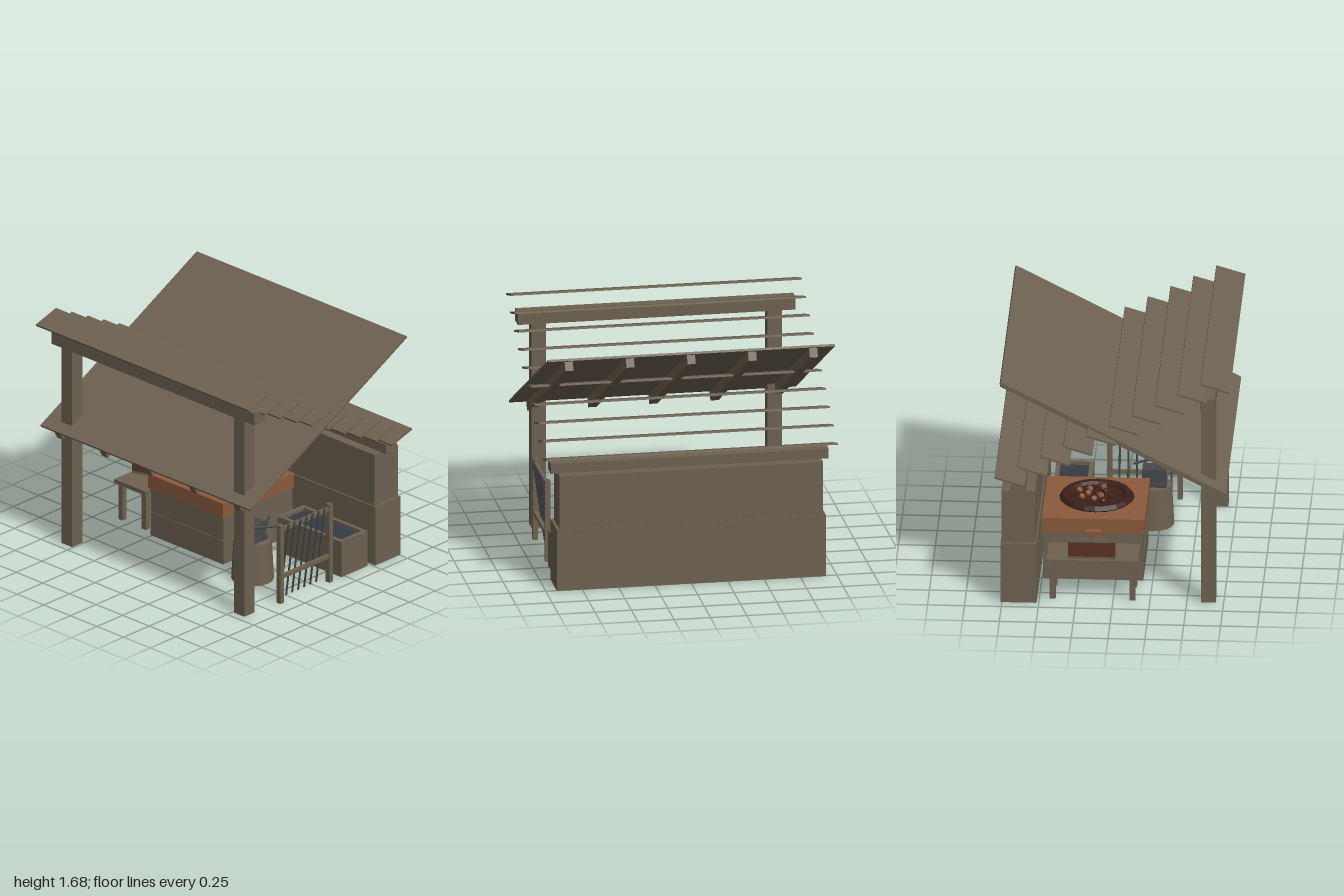
import * as THREE from 'three';

const mat = (name, color, extra = {}) => {
  const m = new THREE.MeshStandardMaterial({ color, ...extra });
  m.name = name;
  return m;
};

export function createModel() {
  const root = new THREE.Group();
  root.name = 'openForgeShelter';
  const wood = mat('weatheredBrown', 0x6e6251);
  const brick = mat('brickOrange', 0x8b5a3c);
  const iron = mat('darkIron', 0x45474a);
  const ash = mat('charredBrown', 0x44241a);
  const leather = mat('leatherBrown', 0x5a3322);
  const water = mat('darkWater', 0x353b42);

  const add = (parent, name, geo, m, x = 0, y = 0, z = 0) => {
    const mesh = new THREE.Mesh(geo, m);
    mesh.name = name;
    mesh.position.set(x, y, z);
    parent.add(mesh);
    return mesh;
  };
  // Box given by its minimum and maximum on each axis
  const box = (parent, name, m, x0, x1, y0, y1, z0, z1) =>
    add(parent, name, new THREE.BoxGeometry(x1 - x0, y1 - y0, z1 - z0), m,
      (x0 + x1) / 2, (y0 + y1) / 2, (z0 + z1) / 2);
  // Thin round rod between two points
  const rod = (parent, name, m, a, b, r) => {
    const p = new THREE.Vector3(...a), q = new THREE.Vector3(...b);
    const d = q.clone().sub(p);
    const mesh = add(parent, name, new THREE.CylinderGeometry(r, r, d.length(), 6), m);
    mesh.position.copy(p).add(q).multiplyScalar(0.5);
    mesh.quaternion.setFromUnitVectors(new THREE.Vector3(0, 1, 0), d.normalize());
    return mesh;
  };
  const group = (name) => {
    const g = new THREE.Group();
    g.name = name;
    root.add(g);
    return g;
  };

  // Rear wall in two courses with a top plate
  const wall = group('rearWall');
  box(wall, 'wallBase', wood, -0.925, 0.925, 0, 0.435, -0.76, -0.515);
  box(wall, 'wallUpper', wood, -0.905, 0.905, 0.435, 0.815, -0.755, -0.525);
  box(wall, 'wallPlate', wood, -0.955, 0.955, 0.815, 0.885, -0.69, -0.59);

  // Front posts and beam
  const frame = group('frontFrame');
  for (const s of [-1, 1]) box(frame, 'post', wood, s * 0.81 - 0.05, s * 0.81 + 0.05, 0, 1.455, 0.595, 0.695);
  box(frame, 'beam', wood, -0.955, 0.955, 1.455, 1.543, 0.595, 0.695);

  // Sloping roof sheet carried on rafters
  const roof = group('roof');
  roof.position.set(0, 1.257, 0.008);
  roof.rotation.x = Math.atan2(0.788, 1.525);
  box(roof, 'roofSheet', wood, -0.985, 0.985, -0.016, 0, -0.859, 0.859);
  for (let i = -2; i <= 2; i++)
    box(roof, 'rafter', wood, i * 0.42 - 0.028, i * 0.42 + 0.028, -0.08, -0.016, -0.83, 0.852);

  // Stepped slats descending to the rear
  const slats = group('slats');
  for (let i = 0; i < 10; i++) {
    const s = add(slats, 'slat', new THREE.BoxGeometry(2, 0.013, 0.205), wood, 0, 1.641 - i * 0.08, 0.699 - i * 0.155);
    s.rotation.x = 0.29;
  }

  // Forge hearth
  const forge = group('forge');
  box(forge, 'hearthBase', wood, -0.51, 0.172, 0, 0.175, -0.492, 0.187);
  box(forge, 'hearthBody', wood, -0.515, 0.168, 0.175, 0.35, -0.49, 0.182);
  box(forge, 'hearthTop', brick, -0.53, 0.177, 0.35, 0.455, -0.5, 0.195);
  const rim = [[0, 0], [0.24, 0], [0.255, 0.012], [0.235, 0.04], [0.2, 0.04], [0.18, 0.022], [0, 0.022]];
  add(forge, 'fireBowl', new THREE.LatheGeometry(rim.map(p => new THREE.Vector2(...p)), 20),
    mat('bowlBrown', 0x3a2018, { flatShading: true }), -0.178, 0.455, -0.145);
  for (let i = 0; i < 11; i++) {
    const r = 0.042 * Math.sqrt(i), a = i * 2.4;
    const c = add(forge, 'coal', new THREE.IcosahedronGeometry(0.024, 0), i % 3 ? brick : ash,
      -0.178 + r * Math.cos(a), 0.489, -0.145 + r * Math.sin(a));
    c.rotation.set(a, i, 0);
  }

  // Bellows bench
  const bench = group('bellowsBench');
  box(bench, 'benchTop', wood, -0.87, -0.575, 0.27, 0.297, -0.45, 0.17);
  for (const x of [-0.83, -0.61]) for (const z of [-0.41, 0.13])
    box(bench, 'benchLeg', wood, x - 0.02, x + 0.02, 0, 0.27, z - 0.02, z + 0.02);

  // Bellows: tapering boards with a leather wedge between them
  const bellows = group('bellows');
  const taper = (name, m, yTail, yNose, hTail, hNose) => {
    const g = new THREE.BoxGeometry(1, 1, 1);
    const p = g.attributes.position;
    for (let i = 0; i < p.count; i++) {
      const nose = p.getX(i) > 0, up = p.getY(i) > 0 ? 1 : 0;
      p.setXYZ(i, nose ? -0.575 : -0.85,
        nose ? yNose + up * hNose : yTail + up * hTail,
        -0.145 + p.getZ(i) * (nose ? 0.1 : 0.32));
    }
    g.computeVertexNormals();
    add(bellows, name, g, m);
  };
  taper('lowerBoard', wood, 0.297, 0.297, 0.018, 0.018);
  taper('leatherFold', leather, 0.315, 0.315, 0.105, 0.006);
  taper('upperBoard', wood, 0.42, 0.321, 0.018, 0.018);
  rod(bellows, 'pumpHandle', wood, [-0.83, 0.42, -0.145], [-0.83, 0.475, -0.145], 0.01);
  box(bellows, 'nozzleBlock', brick, -0.58, -0.505, 0.27, 0.38, -0.2, -0.09);

  // Anvil on a stump, with tongs laid across it
  const anvil = group('anvil');
  add(anvil, 'stump', new THREE.CylinderGeometry(0.13, 0.145, 0.29, 16), wood, 0.46, 0.145, 0.2);
  box(anvil, 'anvilFoot', iron, 0.39, 0.535, 0.29, 0.32, 0.125, 0.295);
  box(anvil, 'anvilBody', iron, 0.402, 0.52, 0.32, 0.415, 0.13, 0.29);
  rod(anvil, 'tongArm', iron, [0.49, 0.422, 0.07], [0.69, 0.418, 0.34], 0.008);
  rod(anvil, 'tongArm', iron, [0.49, 0.422, 0.34], [0.69, 0.418, 0.07], 0.008);

  // Quench trough with water
  const trough = group('quenchTrough');
  box(trough, 'troughFloor', wood, 0.29, 0.89, 0, 0.2, -0.475, -0.22);
  for (const z of [-0.475, -0.25]) box(trough, 'longSide', wood, 0.29, 0.89, 0.2, 0.262, z, z + 0.03);
  for (const x of [0.29, 0.86]) box(trough, 'shortSide', wood, x, x + 0.03, 0.2, 0.262, -0.445, -0.25);
  box(trough, 'waterSurface', water, 0.32, 0.86, 0.234, 0.24, -0.445, -0.25);

  // Stock rack with leaning iron bars
  const rack = group('stockRack');
  for (const z of [0.363, -0.115]) box(rack, 'rackPost', wood, 0.86, 0.895, 0, 0.58, z - 0.017, z + 0.017);
  for (const y of [0.53, 0.178]) box(rack, 'rackRail', wood, 0.863, 0.89, y, y + 0.026, -0.135, 0.383);
  for (let i = 0; i < 7; i++) {
    const z = 0.305 - i * 0.0585;
    rod(rack, 'ironBar', iron, [0.82, 0.003, z], [0.9, 0.575, z], 0.007);
  }
  return root;
}
